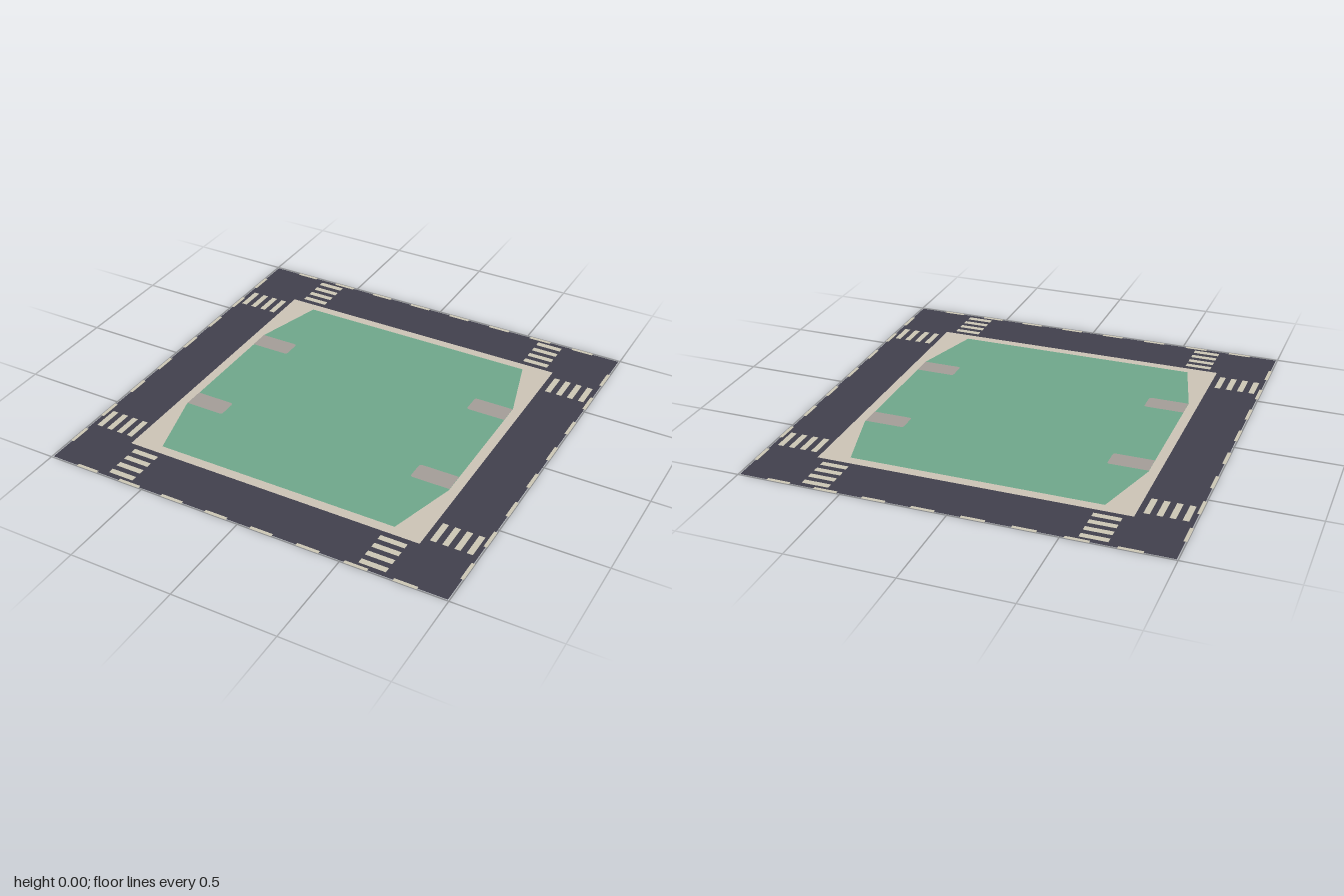
import * as THREE from 'three';

const mat = (name, color, side = THREE.FrontSide) => {
  const m = new THREE.MeshStandardMaterial({ color, side });
  m.name = name;
  return m;
};

export function createModel() {
  const model = new THREE.Group();
  model.name = 'cityBlock';
  const asphalt = mat('asphalt', 0x41404d, THREE.DoubleSide);
  const paving = mat('paving', 0xcbc3b5);
  const grass = mat('grass', 0x6fa68a);
  const stone = mat('pathStone', 0xa39d97);
  const paint = mat('roadPaint', 0xcbc6b4);

  // Flat horizontal sheet cut from a shape drawn in x, -z
  const sheet = (name, shape, y, material) => {
    const mesh = new THREE.Mesh(new THREE.ShapeGeometry(shape, 4).rotateX(-Math.PI / 2), material);
    mesh.name = name;
    mesh.position.y = y;
    model.add(mesh);
    return mesh;
  };
  const polygon = (pts) => new THREE.Shape(pts.map(([x, y]) => new THREE.Vector2(x, y)));
  const square = (h) => polygon([[-h, -h], [h, -h], [h, h], [-h, h]]);

  // Ground layers
  sheet('road', square(0.993), 0, asphalt);
  sheet('pavement', square(0.742), 0.0015, paving);
  sheet('lawn', polygon([
    [-0.6, -0.695], [0.6, -0.695], [0.695, -0.355], [0.695, 0.355],
    [0.6, 0.695], [-0.6, 0.695], [-0.695, 0.355], [-0.695, -0.355],
  ]), 0.003, grass);

  // Four short paths, rounded at the inner end
  const r = 0.014;
  const path = new THREE.Shape();
  path.moveTo(0.695, -0.05);
  path.lineTo(0.695, 0.05);
  path.lineTo(0.5 + r, 0.05);
  path.quadraticCurveTo(0.5, 0.05, 0.5, 0.05 - r);
  path.lineTo(0.5, -0.05 + r);
  path.quadraticCurveTo(0.5, -0.05, 0.5 + r, -0.05);
  for (const turn of [0, Math.PI]) {
    for (const z of [-0.3, 0.3]) {
      const mesh = sheet('path', path, 0.0045, stone);
      mesh.rotation.y = turn;
      mesh.position.z = z;
    }
  }

  // Painted markings, one set per side of the block
  const bar = (group, name, w, d, x, z) => {
    const mesh = new THREE.Mesh(new THREE.BoxGeometry(w, 0.001, d), paint);
    mesh.name = name;
    mesh.position.set(x, 0.0012, z);
    group.add(mesh);
  };
  for (let side = 0; side < 4; side++) {
    const markings = new THREE.Group();
    markings.name = 'roadMarkings';
    markings.rotation.y = side * Math.PI / 2;
    // Centre line dashes along the outer edge
    for (let i = 0; i < 8; i++) bar(markings, 'laneDash', 0.11, 0.016, (i - 3.5) * 0.229, 0.992);
    // Crossings at both ends
    for (const s of [-1, 1]) {
      for (let i = 0; i < 4; i++) {
        bar(markings, 'crossingStripe', 0.128, 0.028, s * 0.636, 0.784 + i * 0.0567);
      }
    }
    model.add(markings);
  }
  return model;
}
